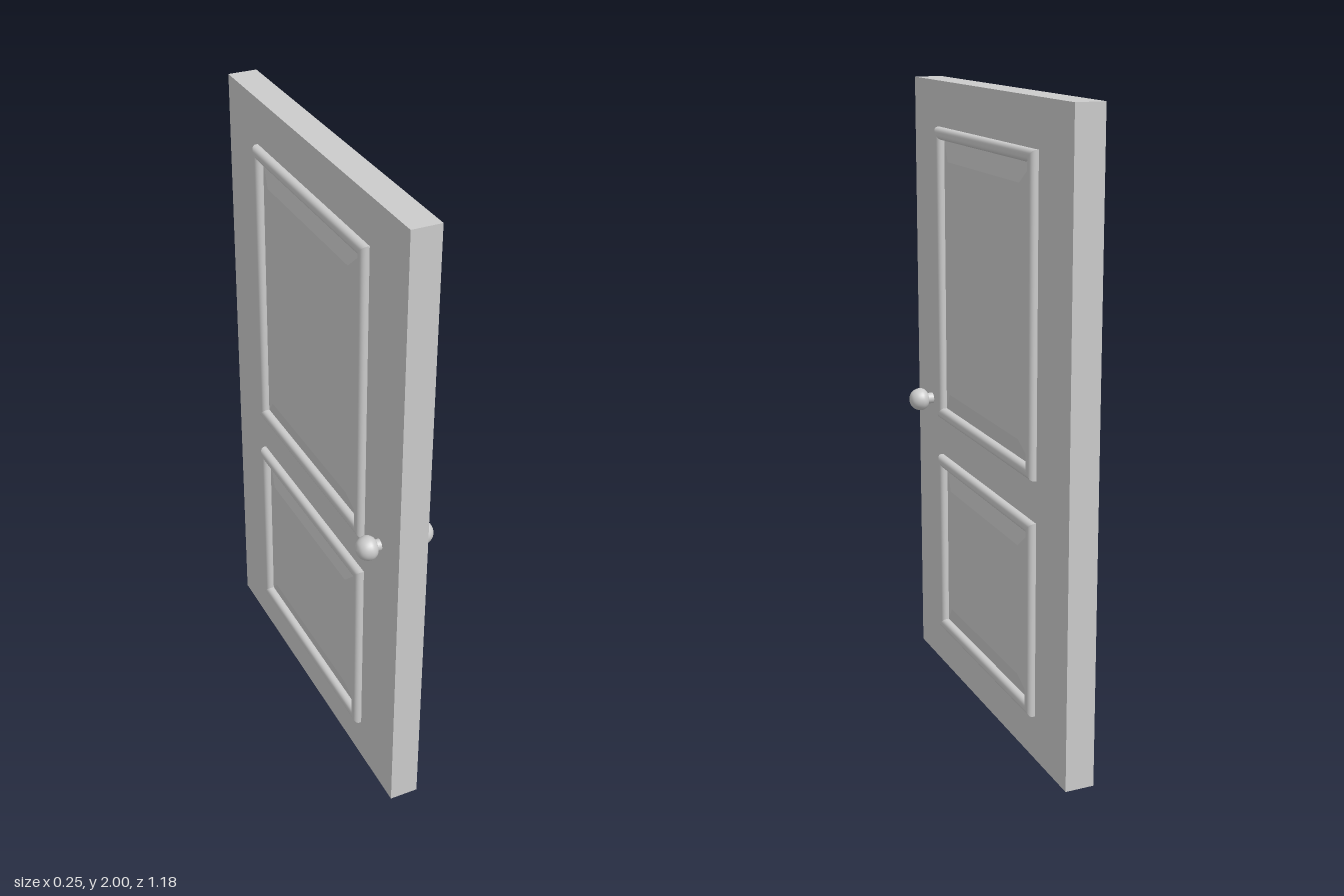
import * as THREE from 'three';

const material = new THREE.MeshStandardMaterial({ color: 0xcccccc });
const HALF_THICK = 0.046, CENTRE_X = -0.005;

function addMesh(parent, name, geometry) {
  const mesh = new THREE.Mesh(geometry, material);
  mesh.name = name;
  parent.add(mesh);
  return mesh;
}

// Sweeps a profile of [inset, height] points around a rectangle with mitred corners.
function mitredRect(halfW, halfH, profile) {
  const corners = [[-1, -1], [1, -1], [1, 1], [-1, 1]];
  const positions = [], index = [];
  for (let side = 0; side < 4; side++) {
    const base = positions.length / 3;
    for (const [inset, height] of profile) {
      for (const [cx, cy] of [corners[side], corners[(side + 1) % 4]]) {
        positions.push(cx * (halfW - inset), cy * (halfH - inset), height);
      }
    }
    for (let i = 0; i < profile.length - 1; i++) {
      const a = base + i * 2;
      index.push(a, a + 1, a + 3, a, a + 3, a + 2);
    }
  }
  const geometry = new THREE.BufferGeometry();
  geometry.setAttribute('position', new THREE.Float32BufferAttribute(positions, 3));
  geometry.setIndex(index);
  geometry.computeVertexNormals();
  return geometry;
}

// Rounded moulding cross-section
const mouldWidth = 0.038, mouldHeight = 0.023, round = 0.015;
const mouldProfile = [[0, 0]];
for (let i = 0; i <= 5; i++) {
  const a = (i / 5) * Math.PI / 2;
  mouldProfile.push([round * (1 - Math.cos(a)), mouldHeight - round * (1 - Math.sin(a))]);
}
for (let i = 6; i >= 0; i--) {
  const [d, h] = mouldProfile[i];
  mouldProfile.push([mouldWidth - d, h]);
}

// One framed, raised panel
function createPanel(name, y0, y1) {
  const panel = new THREE.Group();
  panel.name = name;
  panel.position.y = (y0 + y1) / 2;
  const halfW = 0.372, halfH = (y1 - y0) / 2;
  addMesh(panel, 'moulding', mitredRect(halfW, halfH, mouldProfile));

  const w = halfW - mouldWidth, h = halfH - mouldWidth, bevel = 0.063, rise = 0.014;
  addMesh(panel, 'panelBevel', mitredRect(w, h, [[0, 0], [bevel, rise]]));
  addMesh(panel, 'panelField', new THREE.PlaneGeometry(2 * (w - bevel), 2 * (h - bevel)))
    .position.z = rise;
  return panel;
}

// Door knob turned around its stem
function createKnob() {
  const knob = new THREE.Group();
  knob.name = 'knob';
  const stem = addMesh(knob, 'knobStem', new THREE.CylinderGeometry(0.018, 0.018, 0.034, 24));
  stem.rotation.x = Math.PI / 2;
  stem.position.z = 0.013;
  const curve = new THREE.SplineCurve([
    [0.0, 0.017], [0.017, 0.018], [0.029, 0.023], [0.037, 0.036], [0.037, 0.049],
    [0.031, 0.064], [0.019, 0.075], [0.0, 0.08],
  ].map(([r, y]) => new THREE.Vector2(r, y)));
  const points = curve.getPoints(24).map(p => p.setX(Math.max(p.x, 0)));
  addMesh(knob, 'knobHandle', new THREE.LatheGeometry(points, 32)).rotation.x = Math.PI / 2;
  return knob;
}

export function createModel() {
  const door = new THREE.Group();
  door.name = 'door';

  const slab = addMesh(door, 'slab', new THREE.BoxGeometry(2 * HALF_THICK, 2, 1.18));
  slab.position.set(CENTRE_X, 1, 0);

  // Both faces carry the same panels and knob
  for (const side of [1, -1]) {
    const face = new THREE.Group();
    face.name = side > 0 ? 'leftFace' : 'rightFace';
    face.position.x = CENTRE_X + side * HALF_THICK;
    face.rotation.y = side * Math.PI / 2;
    face.add(createPanel('upperPanel', 0.9, 1.857));
    face.add(createPanel('lowerPanel', 0.143, 0.768));
    const knob = createKnob();
    knob.position.set(-side * 0.468, 0.94, 0);
    knob.position.z = side > 0 ? 0.001 : -0.005;
    face.add(knob);
    door.add(face);
  }
  return door;
}
